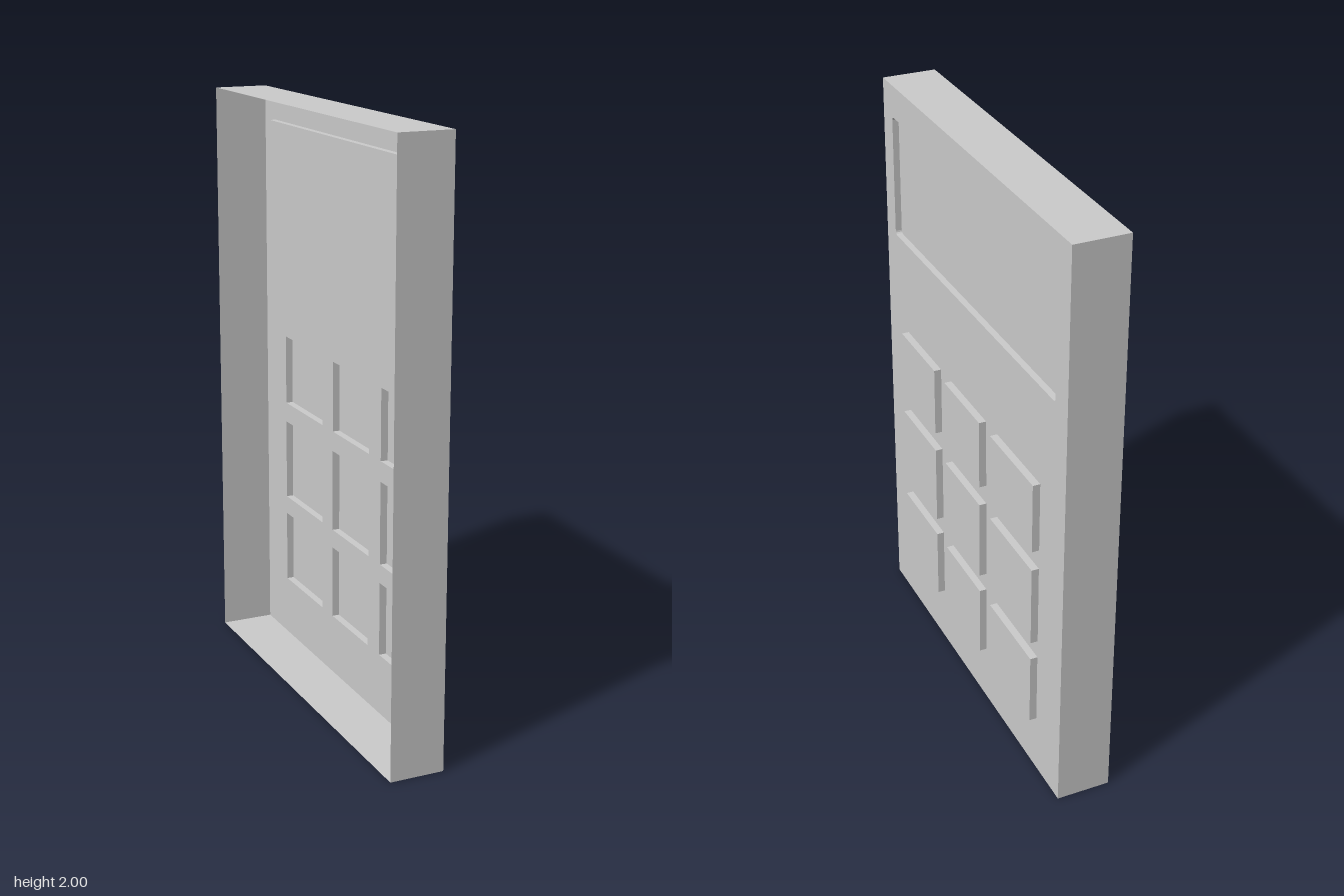
import * as THREE from 'three';

const material = new THREE.MeshStandardMaterial({ color: 0xcccccc, flatShading: true, side: THREE.DoubleSide });

// Layout plane: u runs towards -z, v is height, depth is the model's +x.
const BACK = -0.105, FACE = 0.08, KEY_TOP = 0.105, SCREEN_FLOOR = 0.058;

// Counter-clockwise rectangle, with optional rounded corners.
function rectangle(u0, u1, v0, v1, r = 0) {
  if (!r) return [[u0, v0], [u1, v0], [u1, v1], [u0, v1]].map(([u, v]) => new THREE.Vector2(u, v));
  const points = [];
  const centres = [[u1 - r, v0 + r], [u1 - r, v1 - r], [u0 + r, v1 - r], [u0 + r, v0 + r]];
  centres.forEach(([u, v], corner) => {
    for (let i = 0; i <= 3; i++) {
      const a = (corner - 1 + i / 3) * Math.PI / 2;
      points.push(new THREE.Vector2(u + r * Math.cos(a), v + r * Math.sin(a)));
    }
  });
  return points;
}

// Flat sheet at a given depth, with optional openings.
function sheet(outline, depth, holes = []) {
  const shape = new THREE.Shape(outline);
  shape.holes = holes.map((h) => new THREE.Path(h));
  return new THREE.ShapeGeometry(shape).translate(0, 0, depth);
}

// Band of quads following an outline between two depths.
function wall(outline, d0, d1) {
  const pos = [];
  outline.forEach((a, i) => {
    const b = outline[(i + 1) % outline.length];
    pos.push(a.x, a.y, d0, b.x, b.y, d0, b.x, b.y, d1);
    pos.push(a.x, a.y, d0, b.x, b.y, d1, a.x, a.y, d1);
  });
  const geometry = new THREE.BufferGeometry();
  geometry.setAttribute('position', new THREE.Float32BufferAttribute(pos, 3));
  geometry.computeVertexNormals();
  return geometry;
}

export function createModel() {
  const model = new THREE.Group();
  model.name = 'calculator';
  const add = (parent, name, geometry) => {
    const mesh = new THREE.Mesh(geometry.rotateY(Math.PI / 2), material);
    mesh.name = name;
    parent.add(mesh);
  };

  const body = rectangle(-0.7, 0.7, 0, 2);
  const screen = rectangle(-0.625, 0.62, 1.465, 1.89, 0.012);
  const columns = [[-0.53, -0.24], [-0.153, 0.13], [0.215, 0.53]];
  const rows = [[0.885, 1.13], [0.53, 0.815], [0.21, 0.465]];
  const keys = rows.flatMap(([v0, v1]) => columns.map(([u0, u1]) => rectangle(u0, u1, v0, v1)));

  // Thin casing, open at the back
  add(model, 'casingRim', wall(body, BACK, FACE));
  add(model, 'facePanel', sheet(body, FACE, [screen, ...keys]));

  // Recessed display
  add(model, 'screen', sheet(screen, SCREEN_FLOOR));
  add(model, 'screenEdge', wall([...screen].reverse(), SCREEN_FLOOR, FACE));

  // Raised keys, hollow from behind
  const keypad = new THREE.Group();
  keypad.name = 'keypad';
  keys.forEach((key, i) => {
    add(keypad, `keyTop${i + 1}`, sheet(key, KEY_TOP));
    add(keypad, `keySides${i + 1}`, wall(key, FACE, KEY_TOP));
  });
  model.add(keypad);
  return model;
}
